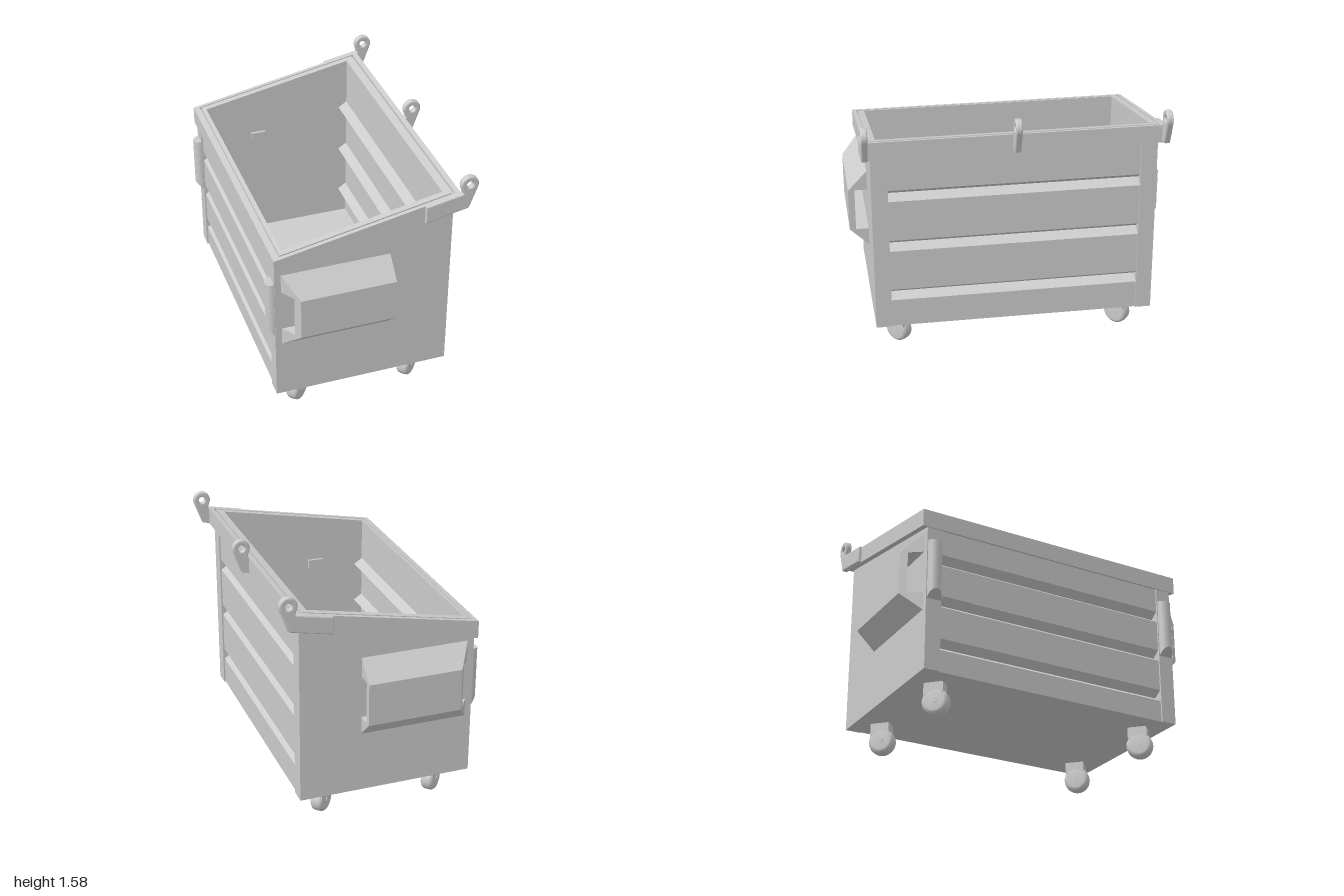
import * as THREE from 'three';

const SLOPE = 0.196;
const FLOOR = 0.2;
const topAt = (x) => 1.355 + SLOPE * x; // sloping upper edge
const material = new THREE.MeshStandardMaterial({ color: 0xcccccc });

export function createModel() {
  const model = new THREE.Group();

  function add(name, geometry, parent = model) {
    const mesh = new THREE.Mesh(geometry, material);
    mesh.name = name;
    parent.add(mesh);
    return mesh;
  }

  // Move every vertex by a rule, then refresh the normals
  function reshape(geometry, rule) {
    const p = geometry.attributes.position;
    const v = new THREE.Vector3();
    for (let i = 0; i < p.count; i++) {
      rule(v.fromBufferAttribute(p, i));
      p.setXYZ(i, v.x, v.y, v.z);
    }
    geometry.computeVertexNormals();
    return geometry;
  }

  const polygon = (points) => new THREE.Shape(points.map(([x, y]) => new THREE.Vector2(x, y)));
  const extrude = (shape, depth, options = {}) =>
    new THREE.ExtrudeGeometry(shape, { depth, bevelEnabled: false, curveSegments: 20, ...options });

  // Upright block whose top follows the slope
  function slopedBlock(name, x0, x1, z0, z1) {
    const g = new THREE.BoxGeometry(x1 - x0, 1, z1 - z0);
    g.translate((x0 + x1) / 2, 0, (z0 + z1) / 2);
    add(name, reshape(g, (v) => { v.y = v.y > 0 ? topAt(v.x) - 0.05 : FLOOR; }));
  }

  // Floor, end walls and corner posts
  add('floor', new THREE.BoxGeometry(1.09, 0.03, 1.74).translate(-0.045, FLOOR + 0.015, 0));
  for (const s of [-1, 1]) {
    const span = (a, b) => (s > 0 ? [a, b] : [-b, -a]);
    slopedBlock('endWall', -0.6, 0.51, ...span(0.84, 0.88));
    slopedBlock('cornerPost', -0.6, -0.54, ...span(0.78, 0.88));
    slopedBlock('cornerPost', 0.45, 0.51, ...span(0.78, 0.88));
  }

  // Long panels with three pressed-in V grooves
  function groovedPanel(name, innerX, s, grooveScale) {
    const topY = topAt(innerX) - 0.05;
    const outer = [[0.05, FLOOR]];
    const inner = [[0, FLOOR]];
    for (const c of [0.217, 0.555, 0.89]) {
      const y = FLOOR + c * grooveScale;
      const h = 0.037;
      outer.push([0.05, y - h], [-0.005, y], [0.05, y + h]);
      inner.push([0, y - h], [-0.055, y], [0, y + h]);
    }
    outer.push([0.05, topY]);
    inner.push([0, topY]);
    const points = [...outer, ...inner.reverse()].map(([u, y]) => [innerX + s * u, y]);
    add(name, extrude(polygon(points), 1.69).translate(0, 0, -0.845));
  }
  groovedPanel('tallPanel', 0.45, 1, 1);
  groovedPanel('lowPanel', -0.54, -1, 0.82);

  // Sloping rim: a wide band with an outer and an inner lip
  const rect = (x0, x1, z) => [[x0, -z], [x1, -z], [x1, z], [x0, z]];
  function rimRing(name, outer, inner, low, high) {
    const shape = polygon(outer);
    shape.holes.push(polygon(inner));
    const g = extrude(shape, high - low).rotateX(-Math.PI / 2);
    add(name, reshape(g, (v) => { v.y += topAt(v.x) + low; }));
  }
  const outerEdge = rect(-0.61, 0.54, 0.915);
  const opening = rect(-0.54, 0.45, 0.84);
  rimRing('rim', outerEdge, opening, -0.112, -0.02);
  rimRing('rimOuterLip', outerEdge, rect(-0.575, 0.51, 0.89), -0.02, 0);
  rimRing('rimInnerLip', rect(-0.565, 0.495, 0.88), opening, -0.02, 0);

  // Lifting lugs: an arm or short foot ending in a pierced eye
  function lug(name, foot, z) {
    const shape = polygon([...foot, [0.585, 1.36], [0.637, 1.5]]);
    shape.absarc(0.585, 1.52, 0.055, -0.3, Math.PI + 0.3, false);
    shape.lineTo(0.545, 1.465);
    shape.closePath();
    const hole = new THREE.Path();
    hole.absarc(0.585, 1.52, 0.022, 0, Math.PI * 2, true);
    shape.holes.push(hole);
    const b = 0.008;
    const g = extrude(shape, 0.04 - 2 * b, {
      bevelEnabled: true, bevelThickness: b, bevelSize: b, bevelOffset: -b, bevelSegments: 2,
    });
    add(name, g.translate(0, 0, z - 0.02 + b));
  }
  const arm = [[0.54, 1.462], [0.315, 1.418], [0.315, 1.305]];
  lug('endLug', arm, 0.915);
  lug('endLug', arm, -0.915);
  lug('middleLug', [[0.53, 1.455], [0.53, 1.352]], 0);

  // Fork pockets: two wedges and an outer plate, with a slanted mouth
  for (const s of [-1, 1]) {
    const pocket = new THREE.Group();
    pocket.name = 'forkPocket';
    model.add(pocket);
    const bar = (name, points) => {
      const g = extrude(polygon(points.map(([z, y]) => [-s * z, y])), 0.68);
      g.rotateY(Math.PI / 2).translate(-0.56, 0, 0);
      add(name, reshape(g, (v) => {
        if (v.x < 0) v.x += (0.085 * (Math.abs(v.z) - 0.88)) / 0.12;
      }), pocket);
    };
    bar('upperWedge', [[0.88, 0.975], [1, 0.975], [0.88, 1.1]]);
    bar('lowerWedge', [[0.88, 0.59], [1, 0.705], [0.88, 0.705]]);
    bar('outerPlate', [[0.96, 0.705], [1, 0.705], [1, 0.975], [0.96, 0.975]]);

    // Small block on the inside of the end wall
    add('innerBlock', new THREE.BoxGeometry(0.1, 0.06, 0.02).translate(-0.19, 0.98, s * 0.832));

    // Rounded corner bumper with slanted ends
    const g = new THREE.CylinderGeometry(0.045, 0.045, 0.385, 24);
    const p = g.attributes.position;
    for (let i = 0; i < p.count; i++) {
      const y = p.getY(i);
      const x = Math.min(p.getX(i), 0);
      p.setY(i, y < 0 ? y - x * 1.2 : y + x * 0.2);
    }
    add('bumper', g.translate(-0.6, 0.845, s * 0.83));
  }

  // Swivelled casters: rounded wheel, bracket and axle
  const wheelProfile = [
    [0, -0.042], [0.058, -0.042], [0.071, -0.038], [0.08, -0.028], [0.083, -0.014],
    [0.083, 0.014], [0.08, 0.028], [0.071, 0.038], [0.058, 0.042], [0, 0.042],
  ].map(([r, y]) => new THREE.Vector2(r, y));
  for (const x of [-0.423, 0.318]) {
    for (const z of [-0.71, 0.725]) {
      const caster = new THREE.Group();
      caster.name = 'caster';
      caster.position.set(x, 0.083, z);
      caster.rotation.y = Math.PI / 4;
      model.add(caster);
      add('wheel', new THREE.LatheGeometry(wheelProfile, 32).rotateX(Math.PI / 2), caster);
      add('bracket', new THREE.BoxGeometry(0.12, 0.085, 0.08).translate(0.008, 0.0775, 0), caster);
      add('axle', new THREE.CylinderGeometry(0.016, 0.016, 0.092, 16).rotateX(Math.PI / 2), caster);
    }
  }

  return model;
}
